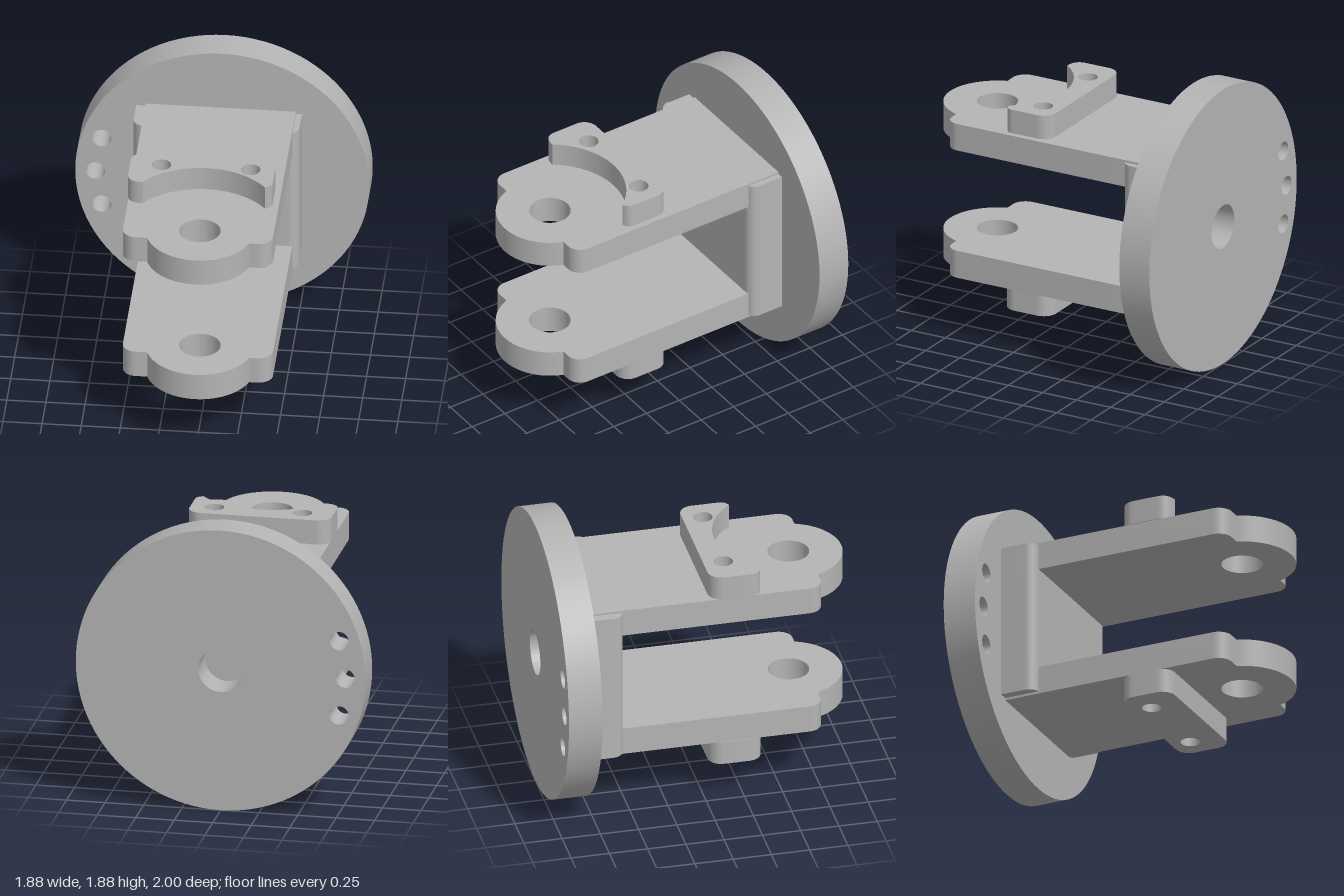
import * as THREE from 'three';
import { toCreasedNormals } from 'three/addons/utils/BufferGeometryUtils.js';

const PI = Math.PI;
const grey = new THREE.MeshStandardMaterial({ color: 0xb4b4b4 });
grey.name = 'grey';

function addHole(shape, x, y, r) {
  shape.holes.push(new THREE.Path().absarc(x, y, r, 0, PI * 2, true));
}

// Rounded rectangle with separate radii for the low-y and high-y corners
function roundedRect(x0, x1, y0, y1, r0, r1) {
  const s = new THREE.Shape();
  s.moveTo(x0 + r0, y0);
  s.lineTo(x1 - r0, y0);
  if (r0) s.absarc(x1 - r0, y0 + r0, r0, -PI / 2, 0, false);
  s.lineTo(x1, y1 - r1);
  if (r1) s.absarc(x1 - r1, y1 - r1, r1, 0, PI / 2, false);
  s.lineTo(x0 + r1, y1);
  if (r1) s.absarc(x0 + r1, y1 - r1, r1, PI / 2, PI, false);
  s.lineTo(x0, y0 + r0);
  if (r0) s.absarc(x0 + r0, y0 + r0, r0, PI, PI * 1.5, false);
  return s;
}

function extrude(shape, depth) {
  return new THREE.ExtrudeGeometry(shape, { depth, bevelEnabled: false, curveSegments: 48 });
}

// Plan shape (x, z) raised from y0 to y1
function slab(shape, y0, y1) {
  return extrude(shape, y1 - y0).rotateX(PI / 2).translate(0, y1, 0);
}

export function createModel() {
  const model = new THREE.Group();
  model.name = 'clevisBracket';
  const add = (name, geometry) => {
    const mesh = new THREE.Mesh(toCreasedNormals(geometry, 0.5), grey);
    mesh.name = name;
    model.add(mesh);
  };

  // Round mounting flange with centre bore and three side holes
  const disc = new THREE.Shape().absarc(0, 0.94, 0.94, 0, PI * 2, false);
  addHole(disc, 0, 0.94, 0.145);
  for (const [x, y] of [[-0.77, 1.19], [-0.81, 0.94], [-0.77, 0.69]]) addHole(disc, x, y, 0.062);
  add('flange', extrude(disc, 0.22).translate(0, 0, -1));

  // Web joining the two arms, rounded on its front vertical edges
  add('web', slab(roundedRect(-0.55, 0.51, -0.78, -0.545, 0, 0.07), 0.43, 1.455));

  // Arms with a round lug and pin hole at the tip
  const arm = new THREE.Shape();
  const a = Math.asin(0.115 / 0.345);
  arm.moveTo(-0.49, -0.78);
  arm.lineTo(0.47, -0.78);
  arm.lineTo(0.47, 0.68);
  arm.absarc(0.38, 0.68, 0.09, 0, PI / 2, false);
  arm.absarc(0, 0.655, 0.345, a, PI - a, false);
  arm.absarc(-0.4, 0.68, 0.09, PI / 2, PI, false);
  arm.closePath();
  addHole(arm, 0, 0.655, 0.132);
  add('lowerArm', slab(arm, 0.415, 0.6));
  add('upperArm', slab(arm, 1.288, 1.47));

  // Upper pad, scooped concentric with the pin hole
  const scoop = new THREE.Shape();
  scoop.moveTo(-0.405, 0.03);
  scoop.lineTo(0.34, 0.03);
  scoop.absarc(0.34, 0.12, 0.09, -PI / 2, 0, false);
  scoop.lineTo(0.43, 0.3);
  scoop.quadraticCurveTo(0.43, 0.34, 0.385, 0.357);
  scoop.absarc(0, 0.66, 0.49, -0.667, -(PI - 0.63), true);
  scoop.lineTo(-0.42, 0.371);
  scoop.quadraticCurveTo(-0.495, 0.36, -0.495, 0.29);
  scoop.lineTo(-0.495, 0.12);
  scoop.absarc(-0.405, 0.12, 0.09, PI, PI * 1.5, false);

  // Lower pad, a plain rounded block
  const block = roundedRect(-0.495, 0.43, 0.03, 0.375, 0.09, 0.09);
  for (const pad of [scoop, block]) {
    addHole(pad, -0.295, 0.16, 0.062);
    addHole(pad, 0.275, 0.16, 0.062);
  }
  add('upperPad', slab(scoop, 1.47, 1.63));
  add('lowerPad', slab(block, 0.255, 0.415));

  return model;
}
